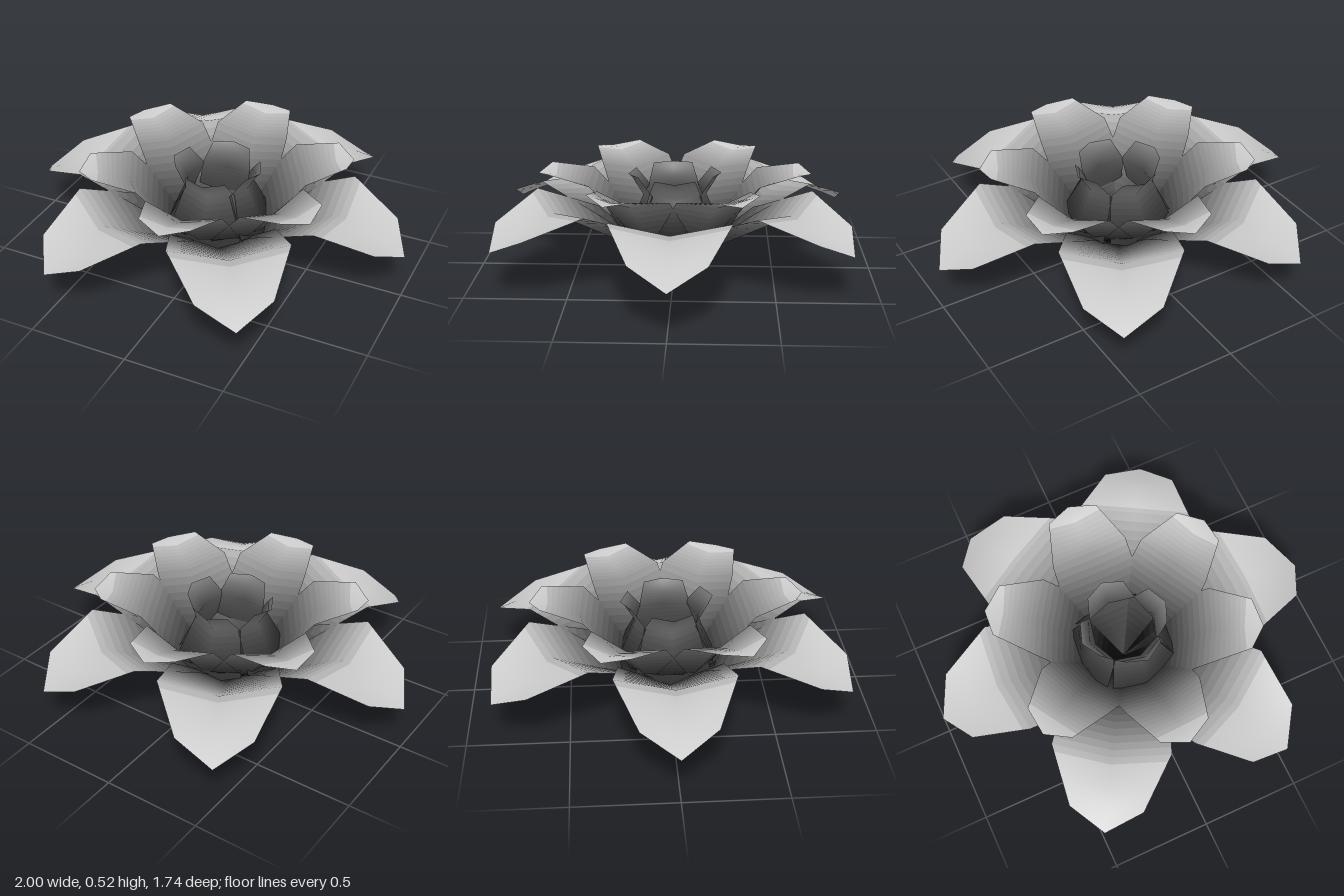
import * as THREE from 'three';

const BANDS = 8; // colour bands between two rows of a petal

// Rings of petals: start and step are degrees around y, from +x towards +z.
// A petal grows along +x from the origin. Each row is
// [radius at keel, height at keel, half width, radius at edge, height at edge]
const RINGS = [
  {
    name: 'outerPetal', count: 6, start: 0, step: 60, tip: [1.0, 0.23],
    rows: [
      [0.32, 0.19, 0.26, 0.31, 0.30],
      [0.66, 0.38, 0.29, 0.63, 0.43],
      [0.91, 0.275, 0.18, 0.90, 0.32],
    ],
  },
  {
    name: 'middlePetal', count: 6, start: -28.5, step: -61, tip: [0.69, 0.50],
    rows: [
      [0.23, 0.17, 0.21, 0.21, 0.24],
      [0.44, 0.43, 0.20, 0.42, 0.48],
      [0.62, 0.50, 0.13, 0.63, 0.525],
    ],
  },
  {
    name: 'innerPetal', count: 4, start: -2, step: -91.5, tip: [0.235, 0.50],
    rows: [
      [0.27, 0.13, 0.19, 0.21, 0.20],
      [0.16, 0.39, 0.13, 0.12, 0.41],
      [0.215, 0.48, 0.10, 0.19, 0.505],
    ],
  },
];

// Two mirrored quads between each pair of neighbouring three-point sections
function stripIndex(segments) {
  const index = [];
  for (let i = 0; i < segments; i++) {
    const p = i * 3;
    index.push(p, p + 3, p + 4, p, p + 4, p + 1);
    index.push(p + 1, p + 4, p + 2, p + 2, p + 4, p + 5);
  }
  return index;
}

function makeGeometry(positions, segments) {
  const geometry = new THREE.BufferGeometry();
  geometry.setAttribute('position', new THREE.Float32BufferAttribute(positions, 3));
  geometry.setIndex(stripIndex(segments));
  return geometry;
}

// Smooth normals of the whole petal; the three points at each end share one
function petalNormals(positions, segments) {
  const geometry = makeGeometry(positions, segments);
  geometry.computeVertexNormals();
  const normals = geometry.attributes.normal;
  for (const first of [0, segments * 3]) {
    const sum = new THREE.Vector3();
    for (let k = 0; k < 3; k++) sum.add(new THREE.Vector3().fromBufferAttribute(normals, first + k));
    sum.normalize();
    for (let k = 0; k < 3; k++) normals.setXYZ(first + k, sum.x, sum.y, sum.z);
  }
  return Array.from(normals.array);
}

// Nine numbers of a section, blended between section i and the next one
function blend(values, i, t) {
  return Array.from({ length: 9 }, (_, k) =>
    THREE.MathUtils.lerp(values[i * 9 + k], values[i * 9 + 9 + k], t));
}

// Petals are nearly black at the base and pale towards the tip
function bandMaterial(distance) {
  const shade = 0.8 * THREE.MathUtils.clamp(1.3 * distance - 0.1, 0.04, 1);
  return new THREE.MeshStandardMaterial({
    color: new THREE.Color().setRGB(shade, shade, shade, THREE.SRGBColorSpace),
    side: THREE.DoubleSide,
  });
}

// Cross bands of one petal, each with its own shade
function petalBands({ rows, tip }) {
  const positions = [0, 0, 0, 0, 0, 0, 0, 0, 0];
  for (const [r, y, w, re, ye] of rows) positions.push(re, ye, w, r, y, 0, re, ye, -w);
  for (let k = 0; k < 3; k++) positions.push(tip[0], tip[1], 0);
  const segments = rows.length + 1;
  const normals = petalNormals(positions, segments);

  const bands = [];
  for (let i = 0; i < segments; i++) {
    for (let j = 0; j < BANDS; j++) {
      const t0 = j / BANDS, t1 = (j + 1) / BANDS;
      const geometry = makeGeometry([...blend(positions, i, t0), ...blend(positions, i, t1)], 1);
      geometry.setAttribute('normal', new THREE.Float32BufferAttribute(
        [...blend(normals, i, t0), ...blend(normals, i, t1)], 3));
      const middle = blend(positions, i, (t0 + t1) / 2);
      bands.push({ geometry, material: bandMaterial(Math.hypot(middle[3], middle[4])) });
    }
  }
  return bands;
}

export function createModel() {
  const flower = new THREE.Group();
  flower.name = 'flower';

  for (const ring of RINGS) {
    const group = new THREE.Group();
    group.name = ring.name + 'Ring';
    const bands = petalBands(ring);
    for (let i = 0; i < ring.count; i++) {
      const petal = new THREE.Group();
      petal.name = ring.name;
      for (const { geometry, material } of bands) {
        const band = new THREE.Mesh(geometry, material);
        band.name = ring.name + 'Band';
        petal.add(band);
      }
      petal.rotation.y = -THREE.MathUtils.degToRad(ring.start + ring.step * i);
      group.add(petal);
    }
    flower.add(group);
  }
  return flower;
}
